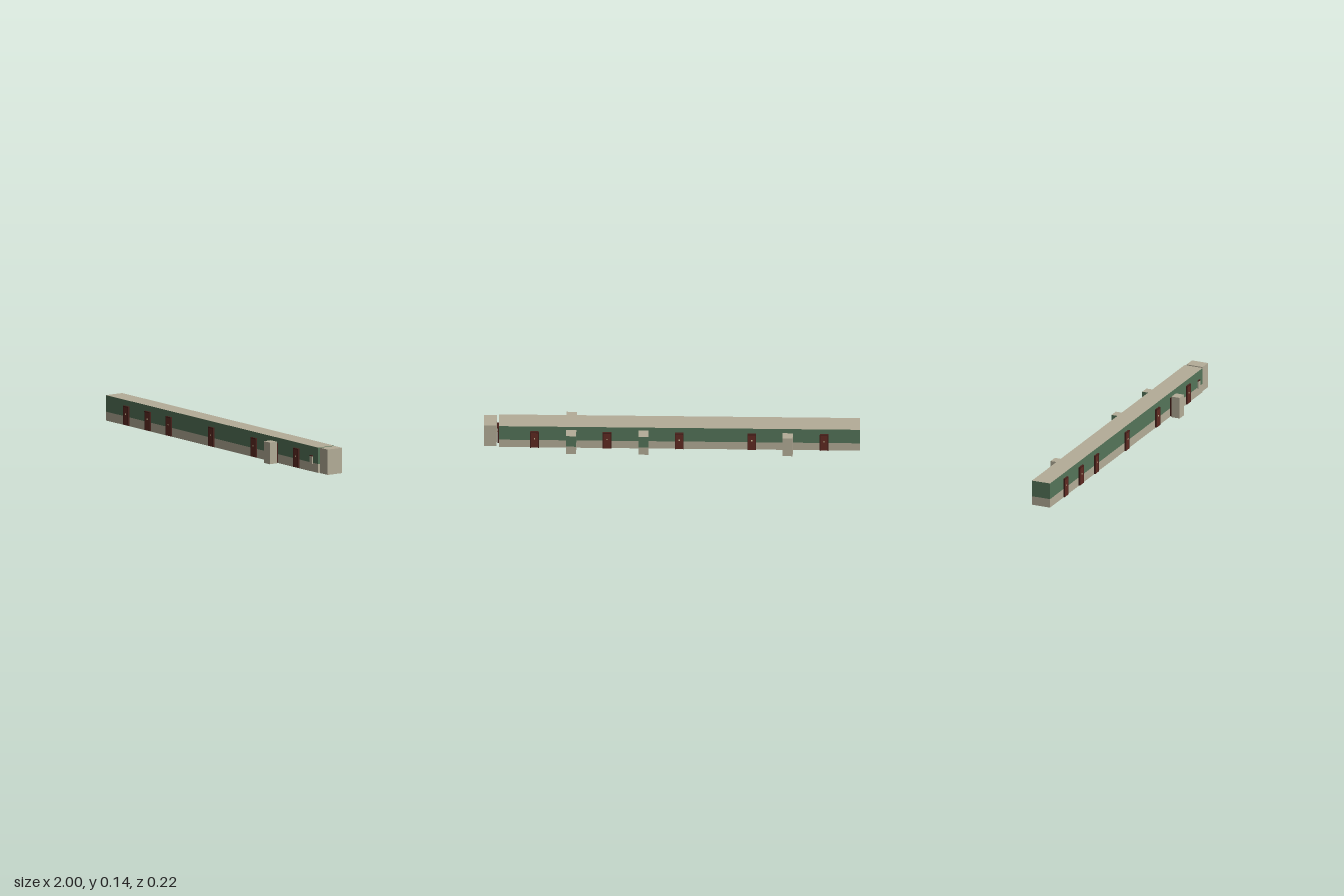
import * as THREE from 'three';

const mat = (name, color) => {
  const m = new THREE.MeshStandardMaterial({ color });
  m.name = name;
  return m;
};

export function createModel() {
  const beige = mat('beige', 0xb4ad98);
  const green = mat('green', 0x55755a);
  const doorRed = mat('door brown', 0x602a22);
  const frameRed = mat('frame brown', 0x46201a);
  const brass = mat('brass', 0xcbbd98);

  const root = new THREE.Group();
  root.name = 'corridor';

  // Box given by its min and max corners
  function box(name, material, [x0, y0, z0], [x1, y1, z1], parent = root) {
    const mesh = new THREE.Mesh(new THREE.BoxGeometry(x1 - x0, y1 - y0, z1 - z0), material);
    mesh.position.set((x0 + x1) / 2, (y0 + y1) / 2, (z0 + z1) / 2);
    mesh.name = name;
    parent.add(mesh);
    return mesh;
  }

  // Two-tone block: beige wainscot, green upper wall, beige roof
  function twoTone(name, x0, x1, z0, z1, h, bottom) {
    const g = new THREE.Group();
    g.name = name;
    const split = 0.048;
    box('wainscot', [beige, beige, beige, bottom, beige, beige], [x0, 0, z0], [x1, split, z1], g);
    box('upperWall', [green, green, beige, green, green, green], [x0, split, z0], [x1, h, z1], g);
    root.add(g);
  }

  // Door facing +z, standing at the origin
  function door(x, z, turn) {
    const g = new THREE.Group();
    g.name = 'door';
    for (const s of [-1, 1]) {
      box('doorPost', frameRed, [s * 0.021 - 0.002, 0.003, -0.002], [s * 0.021 + 0.002, 0.106, 0.009], g);
    }
    box('lintel', frameRed, [-0.023, 0.1, -0.002], [0.023, 0.106, 0.01], g);
    box('doorLeaf', doorRed, [-0.019, 0.003, -0.002], [0.019, 0.1, 0.008], g);
    box('doorKnob', brass, [-0.003, 0.06, 0.008], [0.003, 0.067, 0.01], g);
    g.position.set(x, 0, z);
    g.rotation.y = turn;
    root.add(g);
  }

  const W = 0.053;

  // Main hallway and the closed block at its left end
  twoTone('hallway', -1, 0.92, -W, W, 0.137, green);
  box('endBlock', beige, [0.932, 0, -0.047], [1, 0.137, 0.047]);
  door(0.92, 0, Math.PI / 2);

  // Doors along both walls
  for (const x of [-0.81, -0.617, -0.425, -0.04, 0.345, 0.73]) door(x, W, 0);
  for (const x of [-0.81, -0.425, -0.04, 0.345, 0.73]) door(x, -W, Math.PI);

  // Alcoves: two painted, two plain behind door frames
  for (const x of [0.15, 0.535]) twoTone('paintedAlcove', x - 0.027, x + 0.027, -0.11, -W, 0.117, beige);
  for (const [x, s] of [[0.535, 1], [-0.617, -1]]) {
    door(x, s * W, s > 0 ? 0 : Math.PI);
    const z = [s * 0.063, s * 0.11].sort((a, b) => a - b);
    box('plainAlcove', beige, [x - 0.027, 0, z[0]], [x + 0.027, 0.117, z[1]]);
  }

  // Small wall fixture
  box('wallFixture', beige, [0.853, 0.042, W], [0.876, 0.084, 0.06]);
  box('fixtureTop', frameRed, [0.852, 0.084, W], [0.877, 0.088, 0.061]);

  return root;
}
